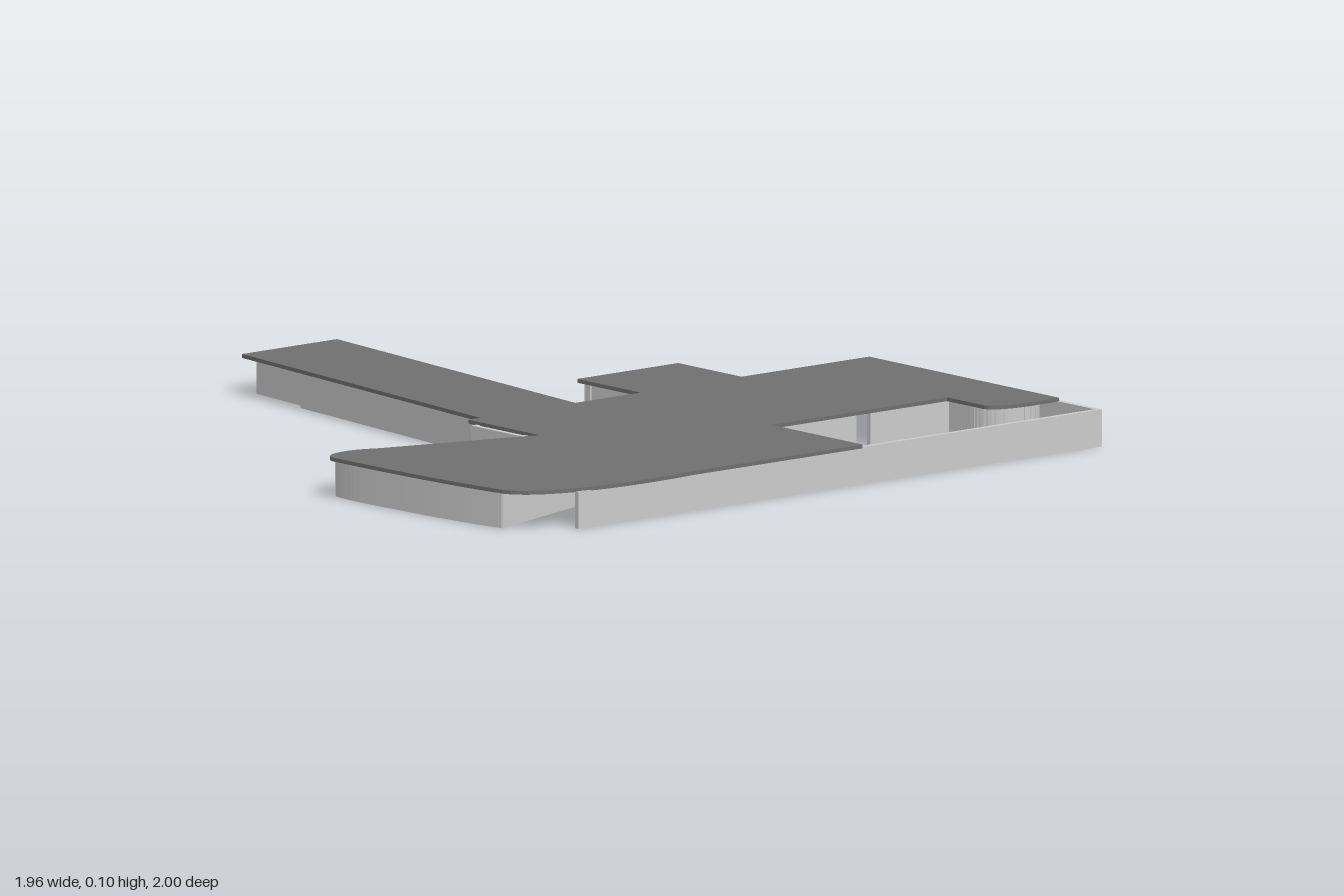
import * as THREE from 'three';

const WALL_H = 0.097;
const T = 0.014;
const grey = new THREE.MeshStandardMaterial({ color: 0xcccccc });
const roofGrey = new THREE.MeshStandardMaterial({ color: 0x707070 });
const glass = new THREE.MeshStandardMaterial({ color: 0xa4d4e0 });

// upright slab between two plan points [x, z]
function slab(a, b, y0, y1, thick, material, extend = 0) {
  const dx = b[0] - a[0], dz = b[1] - a[1];
  const mesh = new THREE.Mesh(
    new THREE.BoxGeometry(Math.hypot(dx, dz) + extend, y1 - y0, thick), material);
  mesh.position.set((a[0] + b[0]) / 2, (y0 + y1) / 2, (a[1] + b[1]) / 2);
  mesh.rotation.y = -Math.atan2(dz, dx);
  return mesh;
}

// chain of wall slabs along plan points
function wall(name, points, thick = T) {
  const group = new THREE.Group();
  group.name = name;
  for (let i = 1; i < points.length; i++) {
    group.add(slab(points[i - 1], points[i], 0, WALL_H, thick, grey, thick * 0.9));
  }
  return group;
}

// plan outline sampled from a smooth curve
function curve(points, n = 24) {
  return new THREE.CatmullRomCurve3(points.map(([x, z]) => new THREE.Vector3(x, 0, z)))
    .getPoints(n).map(p => [p.x, p.z]);
}

const lerp = (a, b, t) => [a[0] + (b[0] - a[0]) * t, a[1] + (b[1] - a[1]) * t];

function createRoof() {
  const s = new THREE.Shape();
  const line = (...pts) => pts.forEach(([x, z]) => s.lineTo(x, -z));
  s.moveTo(-0.23, 1);
  line([0.09, -1], [-0.02, 0.07], [0.2, 0.07], [0.2, -0.18], [0.54, -0.18],
    [0.54, 0.07], [0.97, 0.07], [0.97, 0.82], [0.89, 0.82]);
  s.bezierCurveTo(0.82, -0.82, 0.755, -0.805, 0.755, -0.77);
  line([0.755, 0.63], [0.165, 0.63], [0.165, 0.988], [-0.4, 0.988]);
  s.bezierCurveTo(-0.68, -1.015, -0.91, -0.975, -0.945, -0.87);
  s.bezierCurveTo(-0.975, -0.68, -0.985, -0.45, -0.985, -0.24);
  s.bezierCurveTo(-0.97, -0.19, -0.88, -0.185, -0.82, -0.22);
  line([-0.38, 0.35], [-0.38, 0.07], [-0.34, 0.07], [-0.23, -1]);
  const geo = new THREE.ExtrudeGeometry(s, { depth: 0.01, bevelEnabled: false, curveSegments: 16 });
  geo.rotateX(-Math.PI / 2);
  const roof = new THREE.Mesh(geo, roofGrey);
  roof.position.y = 0.095;
  roof.name = 'roof';
  return roof;
}

export function createModel() {
  const model = new THREE.Group();
  model.add(createRoof());

  // outer walls of the main block and courtyard
  model.add(wall('frontWall', [[-0.78, 0.975], [0.97, 0.975]]));
  model.add(wall('sideWall', [[0.97, 0.975], [0.97, 0.105]]));
  model.add(wall('backWall', [[0.97, 0.105], [0.52, 0.105]]));
  model.add(wall('backLinkWall', [[0.22, 0.105], [-0.04, 0.105]]));
  model.add(wall('cornerWall', [[-0.32, 0.11], [-0.392, 0.11], [-0.392, 0.36]]));
  model.add(wall('courtyardSideWall', [[0.165, 0.97], [0.165, 0.62]]));
  model.add(wall('courtyardBackWallA', [[0.165, 0.615], [0.45, 0.615]]));
  model.add(wall('courtyardBackWallB', [[0.51, 0.615], [0.77, 0.615]]));

  // back windows
  for (let i = 0; i < 4; i++) {
    const x = 0.59 + i * 0.1;
    const pane = slab([x, 0.105], [x + 0.065, 0.105], 0.025, 0.077, T + 0.004, glass);
    pane.name = 'backWindow';
    model.add(pane);
  }

  // entrance porch with posts and glazing
  model.add(wall('porchSideWall', [[0.52, 0.105], [0.52, -0.15]]));
  model.add(wall('porchSideWall', [[0.22, 0.105], [0.22, -0.15]]));
  for (let i = 0; i < 5; i++) {
    const x = 0.22 + i * 0.075;
    const post = slab([x - 0.012, -0.15], [x + 0.012, -0.15], 0, WALL_H, 0.02, grey);
    post.name = 'porchPost';
    model.add(post);
    if (i === 1 || i === 4) continue;
    const pane = slab([x + 0.012, -0.15], [x + 0.063, -0.15], 0.02, 0.08, 0.006, glass);
    pane.name = 'porchWindow';
    model.add(pane);
  }

  // long rear wing
  const right0 = [0.068, -0.975], right1 = [-0.042, 0.105];
  const left0 = [-0.21, -0.975], left1 = [-0.32, 0.105];
  const zAt = (a, b, z) => lerp(a, b, (z - a[1]) / (b[1] - a[1]));
  const jog = zAt(left0, left1, -0.75);
  const inset = ([x, z]) => [x + 0.02, z];
  model.add(wall('wingWindowWall', [right0, right1]));
  model.add(wall('wingEndWall', [right0, inset(left0)]));
  model.add(wall('wingOuterWall', [inset(left0), inset(jog), jog, left1]));
  for (const z of [-0.85, -0.555, -0.275, -0.03]) {
    const pane = slab(zAt(right0, right1, z - 0.063), zAt(right0, right1, z + 0.063),
      0.022, 0.077, T + 0.004, glass);
    pane.name = 'wingWindow';
    model.add(pane);
  }

  // wing rooms off a corridor, each with a door gap
  const cor0 = lerp(left0, right0, 0.6), cor1 = lerp(left1, right1, 0.6);
  for (let i = 0; i < 4; i++) {
    const z = -0.75 + i * 0.25;
    model.add(wall('roomDivider', [zAt(left0, left1, z), zAt(cor0, cor1, z)]));
    model.add(wall('corridorWall', [zAt(cor0, cor1, z - 0.2), zAt(cor0, cor1, z)]));
  }

  // rounded hall
  model.add(wall('hallCurvedWall', [
    [-0.39, 0.365],
    ...curve([[-0.82, 0.24], [-0.9, 0.215], [-0.95, 0.225], [-0.964, 0.27],
      [-0.96, 0.5], [-0.945, 0.7], [-0.925, 0.84]], 30)]));
  model.add(wall('hallDiagonalWall', [[-0.925, 0.84], [-0.1, 0.58]]));

  // inner partitions
  model.add(wall('innerLongWall', [[-0.1, 0.97], [-0.1, 0.2]]));
  model.add(wall('innerCrossWall', [[-0.1, 0.54], [0.165, 0.54], [0.165, 0.62]]));
  model.add(wall('innerBackRoomWall', [[-0.1, 0.3], [-0.39, 0.3]]));

  // rounded alcove inside the main block
  model.add(wall('alcove', [
    [0.17, 0.5], ...curve([[0.3, 0.5], [0.345, 0.485], [0.36, 0.44], [0.345, 0.395], [0.3, 0.38]], 14),
    [0.2, 0.38]], 0.01));

  // round-ended room beside the courtyard
  const end = [];
  for (let i = 0; i <= 14; i++) {
    const a = Math.PI * i / 14;
    end.push([0.865 + 0.09 * Math.cos(a), 0.715 + 0.09 * Math.sin(a)]);
  }
  model.add(wall('roundEndedRoom', [[0.955, 0.42], ...end, [0.775, 0.42]]));

  return model;
}
